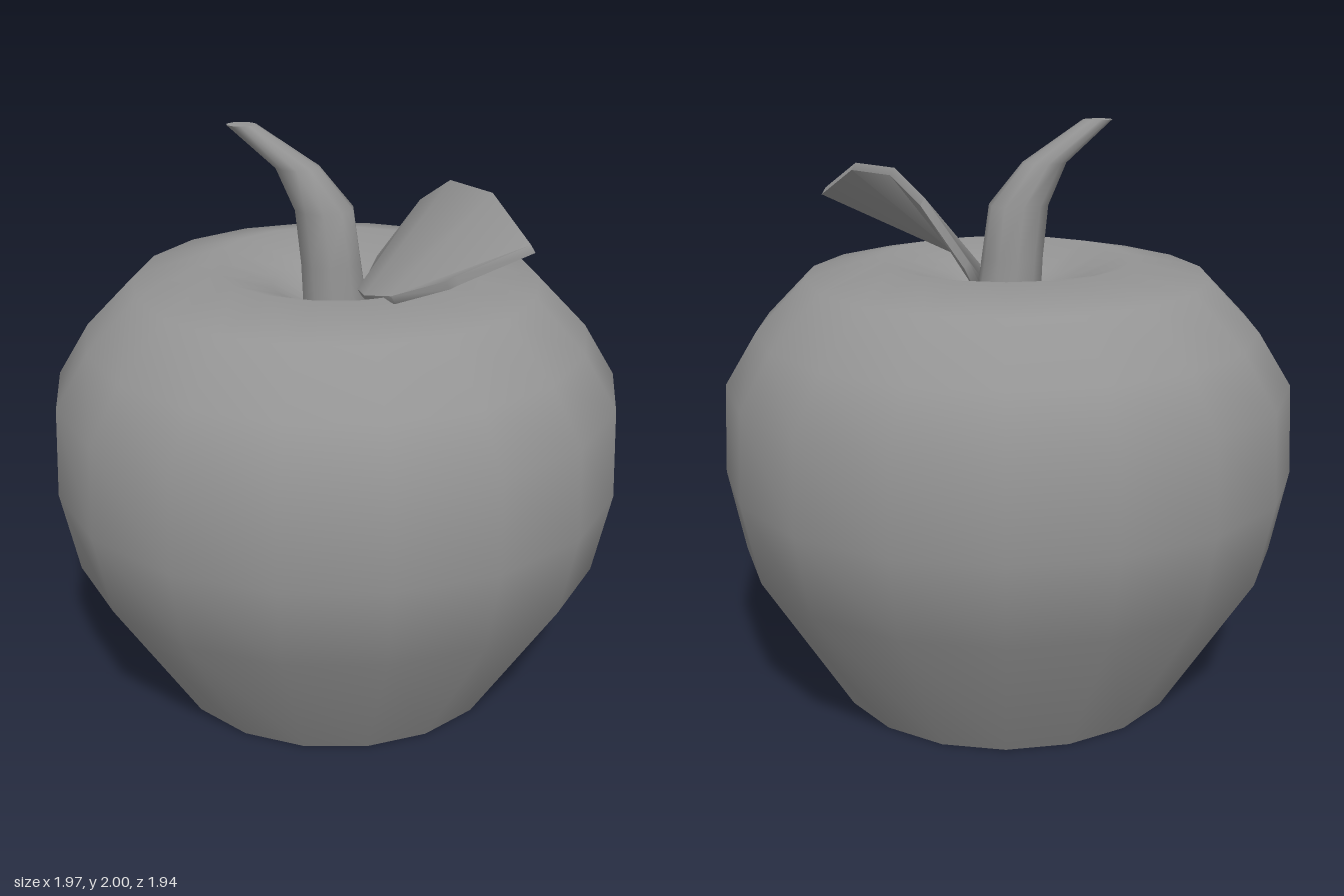
import * as THREE from 'three';
import { toCreasedNormals } from 'three/addons/utils/BufferGeometryUtils.js';

const grey = new THREE.MeshStandardMaterial({ color: 0x949494, side: THREE.DoubleSide });

function part(name, geometry) {
  const mesh = new THREE.Mesh(geometry, grey);
  mesh.name = name;
  return mesh;
}

// Fruit: 18-sided turned shell with a dimple, open underneath, swelling a little on the diagonals
function createFruit() {
  const profile = [
    [0.62, 0], [0.93, 0.53], [0.985, 0.82], [0.97, 1.13], [0.86, 1.31],
    [0.69, 1.485], [0.43, 1.54], [0.22, 1.46], [0, 1.34],
  ].map(([r, y]) => new THREE.Vector2(r, y));
  const shell = new THREE.LatheGeometry(profile, 18, Math.PI / 2);
  const pos = shell.attributes.position;
  for (let i = 0; i < pos.count; i++) {
    const x = pos.getX(i), z = pos.getZ(i);
    const swell = 1 + 0.022 * (x * x + z * z) * Math.sin(2 * Math.atan2(z, x)) ** 2;
    pos.setX(i, x * swell);
    pos.setZ(i, z * swell - 0.004);
  }
  return part('fruit', shell);
}

// Stem: tapering tube leaning to -x, rings given as [y, centre x, radius x, radius z]
function createStem() {
  const sides = 10;
  const rings = [
    [2.0, -0.31, 0.05, 0.04], [1.86, -0.128, 0.075, 0.07],
    [1.72, -0.04, 0.102, 0.097], [1.54, -0.018, 0.105, 0.112], [1.35, 0, 0.115, 0.118],
  ];
  const tube = new THREE.CylinderGeometry(1, 1, 1, sides, rings.length - 1, true);
  const pos = tube.attributes.position;
  for (let i = 0; i < pos.count; i++) {
    const [y, cx, rx, rz] = rings[Math.floor(i / (sides + 1))];
    pos.setXYZ(i, cx + pos.getX(i) * rx, y, pos.getZ(i) * rz - 0.008);
  }
  const [y, cx, rx, rz] = rings[0];
  const cap = new THREE.CircleGeometry(1, sides).rotateZ(Math.PI / 2).rotateX(-Math.PI / 2)
    .scale(rx, 1, rz).translate(cx, y, -0.008);
  const stem = new THREE.Group();
  stem.name = 'stem';
  stem.add(part('stemTube', toCreasedNormals(tube, Math.PI * 0.9)), part('stemCap', cap));
  return stem;
}

// Leaf: thin arched blade lofted through rows of [left edge, right edge]
function createLeaf() {
  const rows = [
    [[0.10, 1.46, -0.03], [0.14, 1.54, -0.06]],
    [[0.08, 1.46, 0.07], [0.28, 1.75, -0.01]],
    [[0.07, 1.49, 0.15], [0.37, 1.84, 0.09]],
    [[0.09, 1.51, 0.28], [0.49, 1.84, 0.26]],
    [[0.17, 1.56, 0.44], [0.59, 1.73, 0.46]],
    [[0.33, 1.63, 0.51], [0.36, 1.645, 0.51]],
  ];
  const drop = [0.015, -0.025, 0];
  const points = [];
  const index = [];
  // Each row becomes four corners: upper left, upper right, lower right, lower left
  for (const [l, r] of rows) {
    const lower = (p) => p.map((v, k) => v + drop[k]);
    points.push(...l, ...r, ...lower(r), ...lower(l));
  }
  for (let i = 0; i < rows.length - 1; i++) {
    for (let k = 0; k < 4; k++) {
      const a = i * 4 + k, b = i * 4 + (k + 1) % 4;
      index.push(a, a + 4, b, b, a + 4, b + 4);
    }
  }
  const e = (rows.length - 1) * 4;
  index.push(0, 1, 2, 0, 2, 3, e, e + 2, e + 1, e, e + 3, e + 2);
  const geometry = new THREE.BufferGeometry();
  geometry.setAttribute('position', new THREE.Float32BufferAttribute(points, 3));
  geometry.setIndex(index);
  return part('leaf', toCreasedNormals(geometry, 1.15));
}

export function createModel() {
  const model = new THREE.Group();
  model.name = 'apple';
  model.add(createFruit(), createStem(), createLeaf());
  return model;
}
